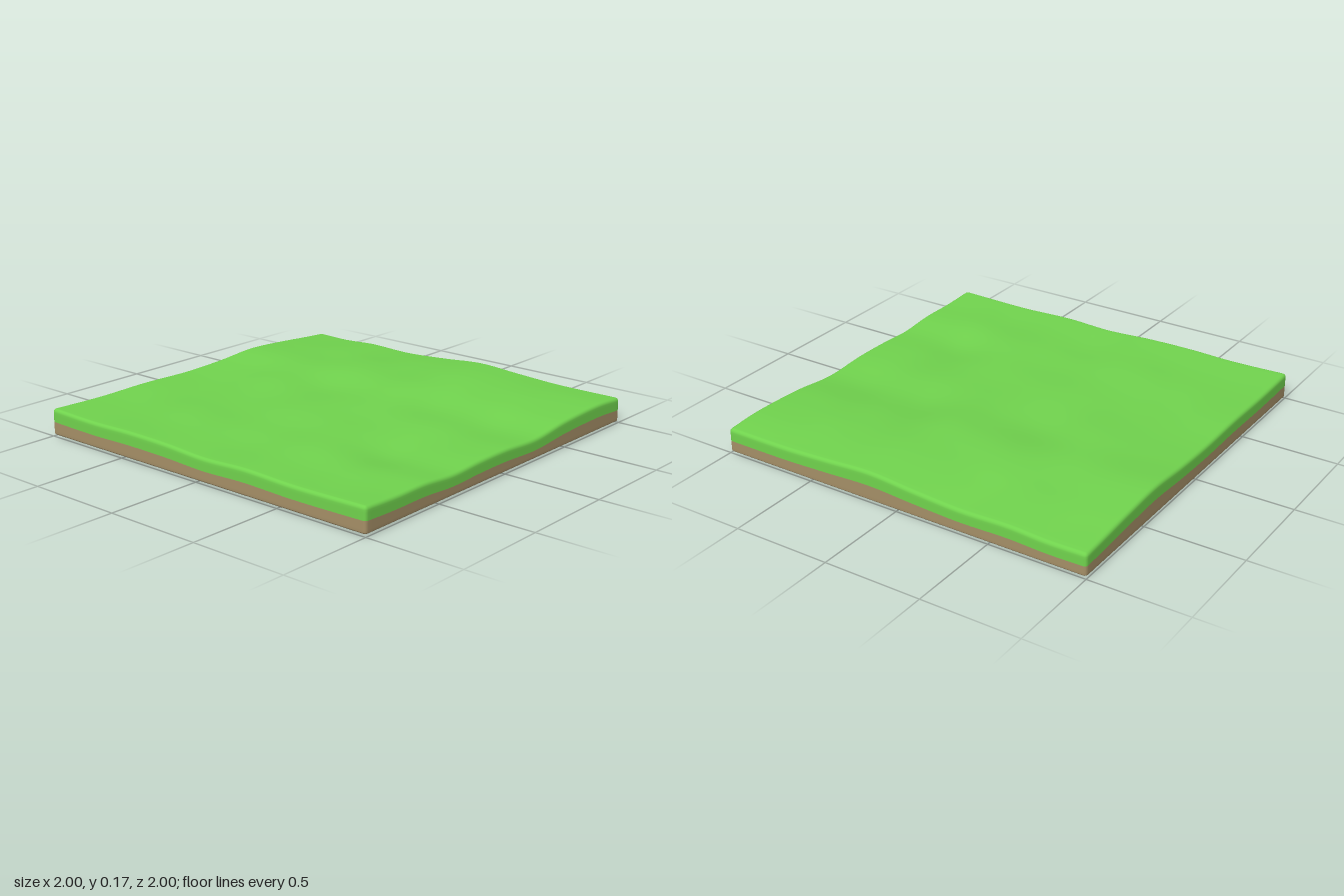
import * as THREE from 'three';
import { mergeVertices } from 'three/addons/utils/BufferGeometryUtils.js';

const R = 0.018; // rounding of all rims
const N = 80; // grid cells per side
const RIM = 4; // cells spent on each rounded rim

// Smooth curve through [position, height] points
function profile(points) {
  return (t) => {
    let i = 0;
    while (i < points.length - 2 && t > points[i + 1][0]) i++;
    const at = (k) => points[Math.min(Math.max(k, 0), points.length - 1)];
    const slope = (k) => (at(k + 1)[1] - at(k - 1)[1]) / (at(k + 1)[0] - at(k - 1)[0]);
    const [a, ya] = points[i], [b, yb] = points[i + 1];
    const w = b - a, u = (t - a) / w, u2 = u * u, u3 = u2 * u;
    return ya * (2 * u3 - 3 * u2 + 1) + yb * (3 * u2 - 2 * u3)
      + w * slope(i) * (u3 - 2 * u2 + u) + w * slope(i + 1) * (u3 - u2);
  };
}

// Heights of the ground along the four edges
const front = profile([[-1, 0.135], [-0.8, 0.127], [-0.6, 0.127], [-0.4, 0.112], [-0.2, 0.12],
  [0, 0.121], [0.25, 0.109], [0.5, 0.134], [0.8, 0.144], [1, 0.132]]);
const back = profile([[-1, 0.143], [-0.7, 0.136], [-0.4, 0.14], [-0.1, 0.134], [0.15, 0.142],
  [0.4, 0.159], [0.65, 0.147], [0.85, 0.132], [1, 0.122]]);
const right = profile([[-1, 0.122], [-0.8, 0.119], [-0.6, 0.129], [-0.35, 0.123], [-0.1, 0.137],
  [0.15, 0.156], [0.4, 0.143], [0.65, 0.132], [1, 0.132]]);
const left = profile([[-1, 0.143], [-0.7, 0.136], [-0.45, 0.142], [-0.2, 0.139], [0.05, 0.127],
  [0.3, 0.136], [0.6, 0.128], [1, 0.135]]);

// Low swells inside the tile: x, z, height
const swells = [
  [-0.4, -0.92, 0.005], [0.45, -0.88, 0.006], [0.1, -0.5, 0.009], [-0.55, -0.42, 0.006],
  [-0.4, 0.32, 0.008], [0.3, 0.12, 0.008], [0.75, 0.58, 0.006], [0.15, 0.58, 0.007],
  [-0.75, 0.72, 0.007], [0.6, -0.3, 0.007], [-0.1, -0.1, 0.004],
  [0.55, -0.58, -0.008], [-0.35, -0.68, -0.007], [0.15, -0.22, -0.007], [-0.8, 0.05, -0.007],
  [-0.35, 0.62, -0.01], [0.35, 0.36, -0.008], [0.25, 0.82, -0.007],
];

// Ground height: blend of the edge curves plus swells stretched along one diagonal
function ground(x, z) {
  const u = (x + 1) / 2, v = (z + 1) / 2;
  const corners = (1 - u) * ((1 - v) * back(-1) + v * front(-1)) + u * ((1 - v) * back(1) + v * front(1));
  let y = (1 - v) * back(x) + v * front(x) + (1 - u) * left(z) + u * right(z) - corners;
  const fade = Math.min(1, 3 * (1 - Math.abs(x))) * Math.min(1, 3 * (1 - Math.abs(z)));
  let swell = 0.002 * Math.sin(9 * z + 4 * x) * Math.sin(7 * x - 3 * z);
  for (const [sx, sz, h] of swells) {
    const dx = x - sx, dz = z - sz;
    const along = (dx - 0.45 * dz) / 0.24, across = (dz + 0.45 * dx) / 0.14;
    swell += h * Math.exp(-along * along - across * across);
  }
  return y + fade * swell;
}

const seam = (x, z) => 0.066 + 0.75 * (ground(x, z) - 0.13);
const base = (x, z) => 0.007 * THREE.MathUtils.smoothstep(Math.max(Math.abs(x), Math.abs(z)), 0.5, 1);

// Spreads the grid lines so the outermost cells follow the rounded rim
function gridLine(c) {
  const k = Math.round((Math.abs(c) * N) / 2), flat = N / 2 - RIM;
  const p = k <= flat ? (k / flat) * (1 - R) : 1 - R + R * Math.sin(((k - flat) / RIM) * Math.PI / 2);
  return Math.sign(c) * p;
}

// Square slab between two height fields; one face is left open, the other gets a rounded rim
function layer(name, color, top, bottom, openTop) {
  const box = new THREE.BoxGeometry(2, 2, 2, N, 4, N);
  const open = box.groups[openTop ? 2 : 3];
  const index = Array.from(box.index.array);
  index.splice(open.start, open.count);
  box.setIndex(index);
  box.clearGroups();
  box.deleteAttribute('uv');
  box.deleteAttribute('normal');
  const pos = box.attributes.position;
  for (let i = 0; i < pos.count; i++) {
    let x = gridLine(pos.getX(i)), z = gridLine(pos.getZ(i));
    const dx = Math.max(0, Math.abs(x) - 1 + R), dz = Math.max(0, Math.abs(z) - 1 + R);
    const d = Math.min(R, Math.max(dx, dz));
    if (dx > 0 && dz > 0) {
      // Round the upright corners
      const s = d / Math.hypot(dx, dz);
      x = Math.sign(x) * (1 - R + dx * s);
      z = Math.sign(z) * (1 - R + dz * s);
    }
    const drop = R - Math.sqrt(Math.max(0, R * R - d * d));
    const hi = top(x, z) - (openTop ? 0 : drop);
    const lo = bottom(x, z) + (openTop ? drop * 0.6 : 0);
    pos.setXYZ(i, x, THREE.MathUtils.lerp(lo, hi, (pos.getY(i) + 1) / 2), z);
  }
  const geometry = mergeVertices(box, 1e-5);
  geometry.computeVertexNormals();
  const mesh = new THREE.Mesh(geometry, new THREE.MeshStandardMaterial({ color }));
  mesh.name = name;
  return mesh;
}

export function createModel() {
  const group = new THREE.Group();
  group.name = 'groundTile';
  group.add(layer('grass', 0x70d24d, ground, seam, false));
  group.add(layer('soil', 0xa48e66, seam, base, true));
  return group;
}
